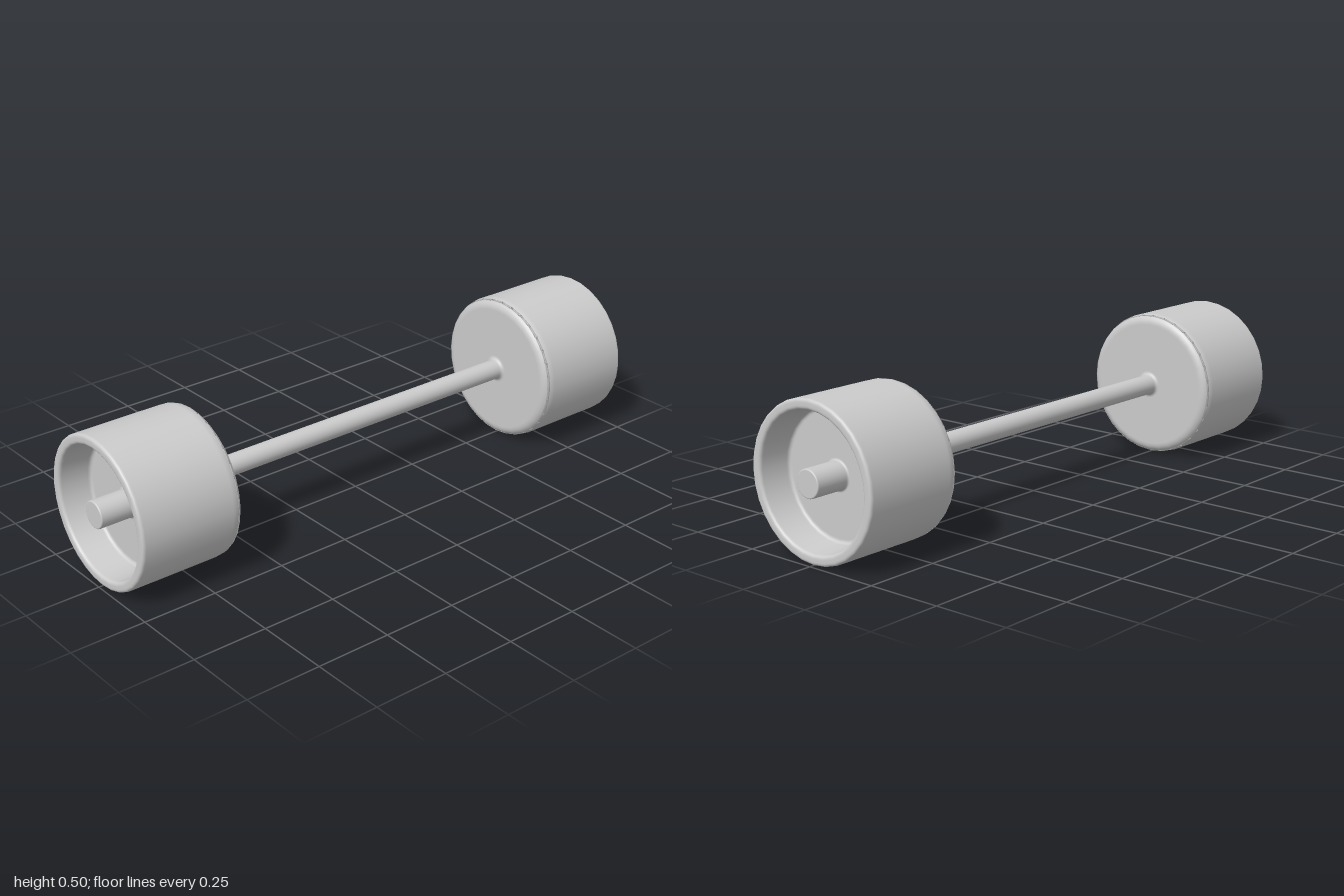
import * as THREE from 'three';

const SIDES = 32;
const CENTER_Y = 0.248;

// Corners are [radius, distance along the axle, fillet size]; each is rounded.
function roundedProfile(corners, steps = 5) {
  const v = corners.map(([r, x]) => new THREE.Vector2(r, x));
  const path = new THREE.Path();
  path.moveTo(v[0].x, v[0].y);
  for (let i = 1; i < v.length - 1; i++) {
    const f = corners[i][2];
    const a = v[i - 1].clone().sub(v[i]).setLength(f).add(v[i]);
    const b = v[i + 1].clone().sub(v[i]).setLength(f).add(v[i]);
    path.lineTo(a.x, a.y);
    path.quadraticCurveTo(v[i].x, v[i].y, b.x, b.y);
  }
  const end = v[v.length - 1];
  path.lineTo(end.x, end.y);
  return path.getPoints(steps);
}

export function createModel() {
  const model = new THREE.Group();
  model.name = 'wheelAxle';
  const material = new THREE.MeshStandardMaterial({ color: 0xcccccc });

  // Wheel: closed inner face, rounded tread, recessed outer face with a hub stub
  const wheelProfile = roundedProfile([
    [0.034, 0.6],
    [0.034, 0.63, 0.014],
    [0.236, 0.63, 0.022],
    [0.248, 0.655, 0.015],
    [0.248, 0.99, 0.012],
    [0.215, 0.99, 0.012],
    [0.205, 0.88, 0.012],
    [0.045, 0.88, 0.008],
    [0.045, 1.0, 0.005],
    [0, 1.0],
  ]);
  const wheelGeometry = new THREE.LatheGeometry(wheelProfile, SIDES);
  for (const [name, side] of [['leftWheel', 1], ['rightWheel', -1]]) {
    const wheel = new THREE.Mesh(wheelGeometry, material);
    wheel.name = name;
    wheel.rotation.z = -side * Math.PI / 2;
    wheel.position.y = CENTER_Y;
    model.add(wheel);
  }

  // Axle joining the two wheels
  const axle = new THREE.Mesh(
    new THREE.CylinderGeometry(0.034, 0.034, 1.2, SIDES, 1, true), material);
  axle.name = 'axle';
  axle.rotation.z = Math.PI / 2;
  axle.position.y = CENTER_Y;
  model.add(axle);

  return model;
}
